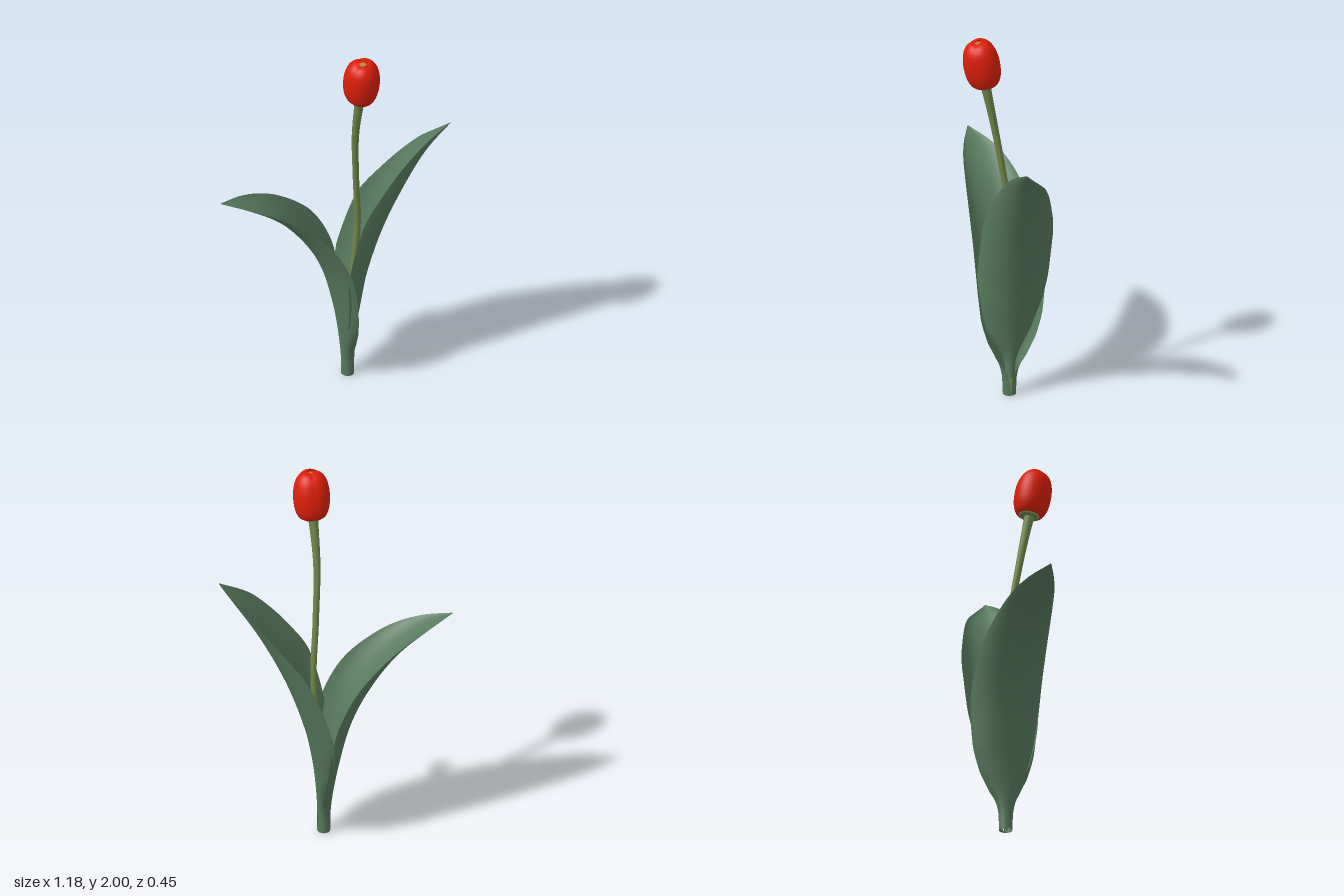
import * as THREE from 'three';
import { ParametricGeometry } from 'three/addons/geometries/ParametricGeometry.js';

const material = (name, color, side = THREE.FrontSide) => {
  const m = new THREE.MeshStandardMaterial({ color, side });
  m.name = name;
  return m;
};
const mesh = (name, geometry, mat) => {
  const m = new THREE.Mesh(geometry, mat);
  m.name = name;
  return m;
};
const curve = (rows) => new THREE.CatmullRomCurve3(rows.map((r) => new THREE.Vector3(...r)));

// Smooth sheet from a rule (u across, v along)
function sheet(rule, across, along) {
  const g = new ParametricGeometry(rule, across, along);
  g.computeVertexNormals();
  return g;
}

// Leaf: U-shaped sections swept along a spine.
// Rows are [x, y, z, half width, depth of the U, half angle of the wrap];
// side is the way it leans, roll is how far it twists toward the tip.
function leafGeometry(rows, side, roll) {
  const spine = curve(rows.map((r) => r.slice(0, 3)));
  const section = curve(rows.map((r) => r.slice(3)));
  return sheet((u, v, target) => {
    const p = spine.getPoint(v);
    const t = spine.getTangent(v);
    const s = section.getPoint(v);
    const n = Math.hypot(t.x, t.y);
    const wrap = Math.min(s.z, Math.PI);
    const a = (u * 2 - 1) * wrap;
    const widest = wrap > Math.PI / 2 ? 1 : Math.sin(wrap);
    const lift = (Math.max(s.y, 0) * (1 - Math.cos(a))) / (1 - Math.cos(wrap));
    const lateral = (Math.max(s.x, 0.002) * Math.sin(a)) / widest;
    const twist = roll * v * v;
    const off = lift * Math.cos(twist) + lateral * Math.sin(twist);
    target.set(
      p.x - (side * t.y * off) / n,
      p.y + (side * t.x * off) / n,
      p.z + lateral * Math.cos(twist) - lift * Math.sin(twist)
    );
  }, 28, 56);
}

// Stem: a tube whose rings are rescaled to a changing radius
function stemGeometry(path, radius) {
  const rings = 60, sides = 14;
  const g = new THREE.TubeGeometry(path, rings, 1, sides);
  const pos = g.attributes.position;
  const v = new THREE.Vector3();
  for (let i = 0; i <= rings; i++) {
    const c = path.getPointAt(i / rings);
    for (let j = 0; j <= sides; j++) {
      const k = i * (sides + 1) + j;
      v.fromBufferAttribute(pos, k).sub(c).multiplyScalar(radius(i / rings)).add(c);
      pos.setXYZ(k, v.x, v.y, v.z);
    }
  }
  g.computeVertexNormals();
  return g;
}

// Petal: a bulging sector of the cup, flatter and narrower toward its tip
const cup = curve([
  [0.03, 0, 0], [0.064, 0.01, 0], [0.085, 0.05, 0], [0.093, 0.11, 0],
  [0.089, 0.17, 0], [0.074, 0.217, 0], [0.048, 0.245, 0], [0.018, 0.252, 0],
]);
function petalGeometry(halfAngle, scale) {
  return sheet((u, v, target) => {
    const p = cup.getPoint(v);
    const e = u * 2 - 1;
    const a = e * halfAngle * (1 - 0.08 * v * v);
    const r = p.x * scale * (1 - 0.06 * e * e);
    const y = p.y * (1 - 0.02 * e * e * v) * (0.5 + 0.5 * scale);
    target.set(r * Math.sin(a), y, r * Math.cos(a));
  }, 20, 28);
}

export function createModel() {
  const leafGreen = material('leaf green', 0x577a5e, THREE.DoubleSide);
  const stemGreen = material('stem green', 0x70874a);
  const petalRed = material('petal red', 0xdb1f09, THREE.DoubleSide);
  const pistilYellow = material('pistil yellow', 0xb88a3c);

  const model = new THREE.Group();
  model.name = 'flower plant';

  // Leaves: the lower one wraps the stem at the ground
  model.add(mesh('lowerLeaf', leafGeometry([
    [0.037, 0, -0.027, 0.033, 0.065, 3.14],
    [0.036, 0.1, -0.027, 0.038, 0.064, 2.8],
    [0.03, 0.2, -0.03, 0.075, 0.062, 1.8],
    [0.02, 0.3, -0.032, 0.125, 0.07, 1.5],
    [0.0, 0.42, -0.035, 0.16, 0.083, 1.35],
    [-0.06, 0.65, -0.04, 0.18, 0.108, 1.25],
    [-0.15, 0.83, -0.04, 0.172, 0.105, 1.2],
    [-0.3, 1.015, -0.033, 0.132, 0.058, 1.1],
    [-0.45, 1.115, -0.027, 0.078, 0.022, 1.0],
    [-0.59, 1.17, -0.02, 0.003, 0, 1.0],
  ], -1, 0), leafGreen));
  model.add(mesh('upperLeaf', leafGeometry([
    [0.103, 0.1, -0.03, 0.024, 0.03, 1.5],
    [0.106, 0.2, -0.03, 0.035, 0.045, 1.4],
    [0.118, 0.35, -0.03, 0.12, 0.075, 1.3],
    [0.143, 0.5, -0.035, 0.165, 0.1, 1.3],
    [0.17, 0.62, -0.035, 0.18, 0.125, 1.3],
    [0.25, 0.87, -0.025, 0.178, 0.135, 1.3],
    [0.35, 1.1, -0.005, 0.145, 0.1, 1.2],
    [0.467, 1.315, 0.015, 0.095, 0.045, 1.1],
    [0.585, 1.47, 0.045, 0.003, 0, 1.0],
  ], 1, 0.5), leafGreen));

  // Stem, widening under the bloom
  const path = curve([
    [0.072, 0, -0.034], [0.076, 0.3, -0.038], [0.1, 0.6, -0.04], [0.122, 0.9, -0.03],
    [0.102, 1.2, 0.008], [0.085, 1.5, 0.055], [0.092, 1.755, 0.106],
  ]);
  model.add(mesh('stem', stemGeometry(path, (t) => 0.016 + 0.01 * Math.pow(t, 9)), stemGreen));

  // Bloom, leaning forward
  const bloom = new THREE.Group();
  bloom.name = 'bloom';
  bloom.position.set(0.097, 1.749, 0.104);
  bloom.rotation.x = 0.17;
  const outer = petalGeometry(Math.PI / 3, 1);
  const inner = petalGeometry(Math.PI / 3, 0.92);
  for (let i = 0; i < 3; i++) {
    const turn = (i * Math.PI * 2) / 3;
    const a = mesh('outerPetal', outer, petalRed);
    a.rotation.y = turn;
    const b = mesh('innerPetal', inner, petalRed);
    b.rotation.y = turn + Math.PI / 3;
    bloom.add(a, b);
  }
  const base = [[0, -0.008], [0.026, -0.008], [0.046, -0.002], [0.054, 0.006], [0, 0.01]];
  bloom.add(mesh('receptacle',
    new THREE.LatheGeometry(base.map((p) => new THREE.Vector2(...p)), 24), stemGreen));
  const pistil = mesh('pistil', new THREE.CylinderGeometry(0.018, 0.014, 0.235, 12), pistilYellow);
  pistil.position.y = 0.125;
  bloom.add(pistil);
  model.add(bloom);

  return model;
}
